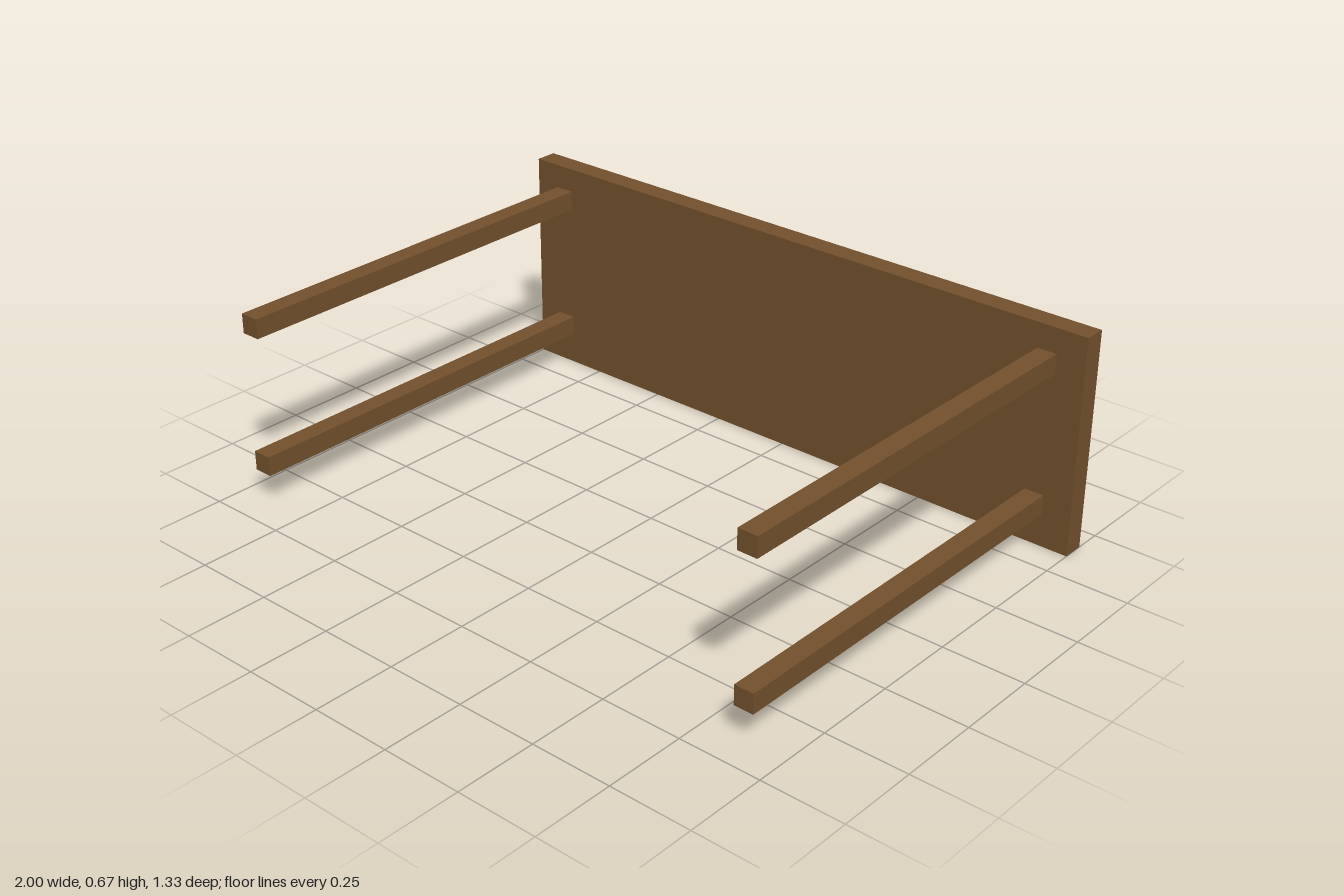
import * as THREE from 'three';

export function createModel() {
  const group = new THREE.Group();
  const wood = new THREE.MeshStandardMaterial({ color: 0x73512d });
  wood.name = 'brown wood';

  // Box given by its minimum and maximum corners
  function addBox(name, [x0, y0, z0], [x1, y1, z1]) {
    const mesh = new THREE.Mesh(new THREE.BoxGeometry(x1 - x0, y1 - y0, z1 - z0), wood);
    mesh.position.set((x0 + x1) / 2, (y0 + y1) / 2, (z0 + z1) / 2);
    mesh.name = name;
    group.add(mesh);
  }

  const depth = 0.667;
  const joint = -0.6;

  // Table top, standing on its long edge
  addBox('tableTop', [-1, 0, -depth], [1, 0.667, joint]);

  // Four square legs reaching forward from the top
  const legSize = 0.06;
  for (const [side, x] of [['right', -0.92], ['left', 0.85]]) {
    for (const [level, y] of [['Lower', 0.1], ['Upper', 0.532]]) {
      addBox(`${side}${level}Leg`, [x, y, joint], [x + legSize, y + legSize, depth]);
    }
  }

  return group;
}
